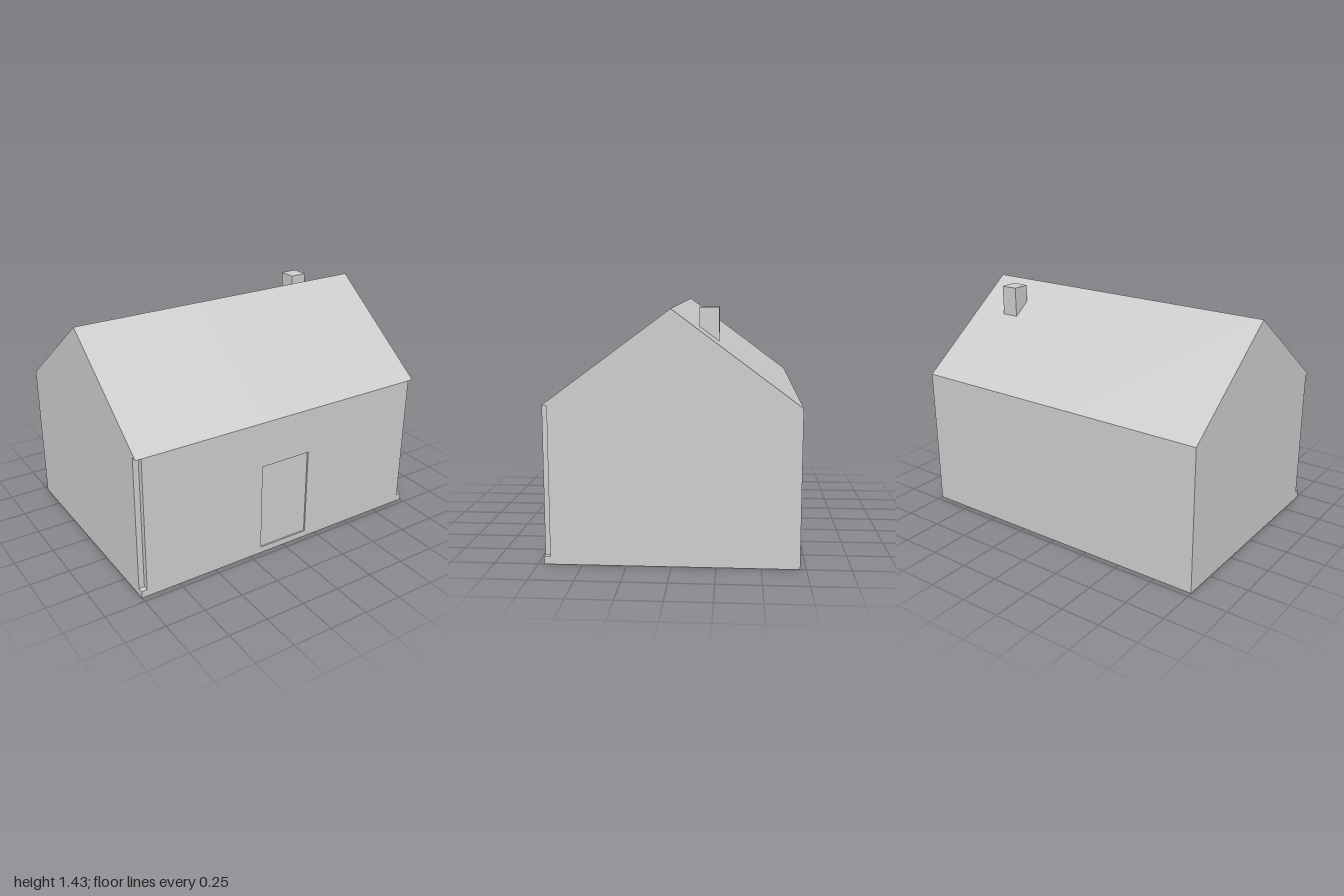
import * as THREE from 'three';

const HALF_DEPTH = 0.715, EAVES = 0.9, RIDGE = 1.43;

// House cross-section (z, y); an optional recess is cut into the front wall
function section(recess) {
  const pts = [[-HALF_DEPTH, 0], [HALF_DEPTH, 0]];
  if (recess) {
    const { depth, bottom, top } = recess;
    pts.push([HALF_DEPTH, bottom], [HALF_DEPTH - depth, bottom], [HALF_DEPTH - depth, top]);
    if (top < EAVES) pts.push([HALF_DEPTH, top]);
  }
  pts.push([HALF_DEPTH, EAVES], [0, RIDGE], [-HALF_DEPTH, EAVES]);
  return new THREE.Shape(pts.map(([z, y]) => new THREE.Vector2(z, y)));
}

export function createModel() {
  const house = new THREE.Group();
  house.name = 'house';
  const plaster = new THREE.MeshStandardMaterial({ color: 0xcccccc });
  plaster.name = 'lightGrey';

  function add(name, geometry) {
    const mesh = new THREE.Mesh(geometry, plaster);
    mesh.name = name;
    house.add(mesh);
    return mesh;
  }

  // Slice of the house running from x0 to x1
  function slice(name, x0, x1, recess) {
    const g = new THREE.ExtrudeGeometry(section(recess), { depth: x1 - x0, bevelEnabled: false });
    g.rotateY(-Math.PI / 2);
    g.translate(x1, 0, 0);
    add(name, g);
  }

  const corner = { depth: 0.035, bottom: 0.045, top: EAVES };
  const door = { depth: 0.01, bottom: 0.04, top: 0.61 };

  // Gable ends with notched front corners, plain bays, and the bay with the recessed door
  slice('rightGableEnd', -1, -0.965, corner);
  slice('rightBay', -0.965, -0.17);
  slice('doorBay', -0.17, 0.17, door);
  slice('leftBay', 0.17, 0.965);
  slice('leftGableEnd', 0.965, 1, corner);

  // Chimney sunk into the rear roof slope
  add('chimney', new THREE.BoxGeometry(0.11, 0.26, 0.11)).position.set(0.71, RIDGE - 0.13, -0.2);

  return house;
}
